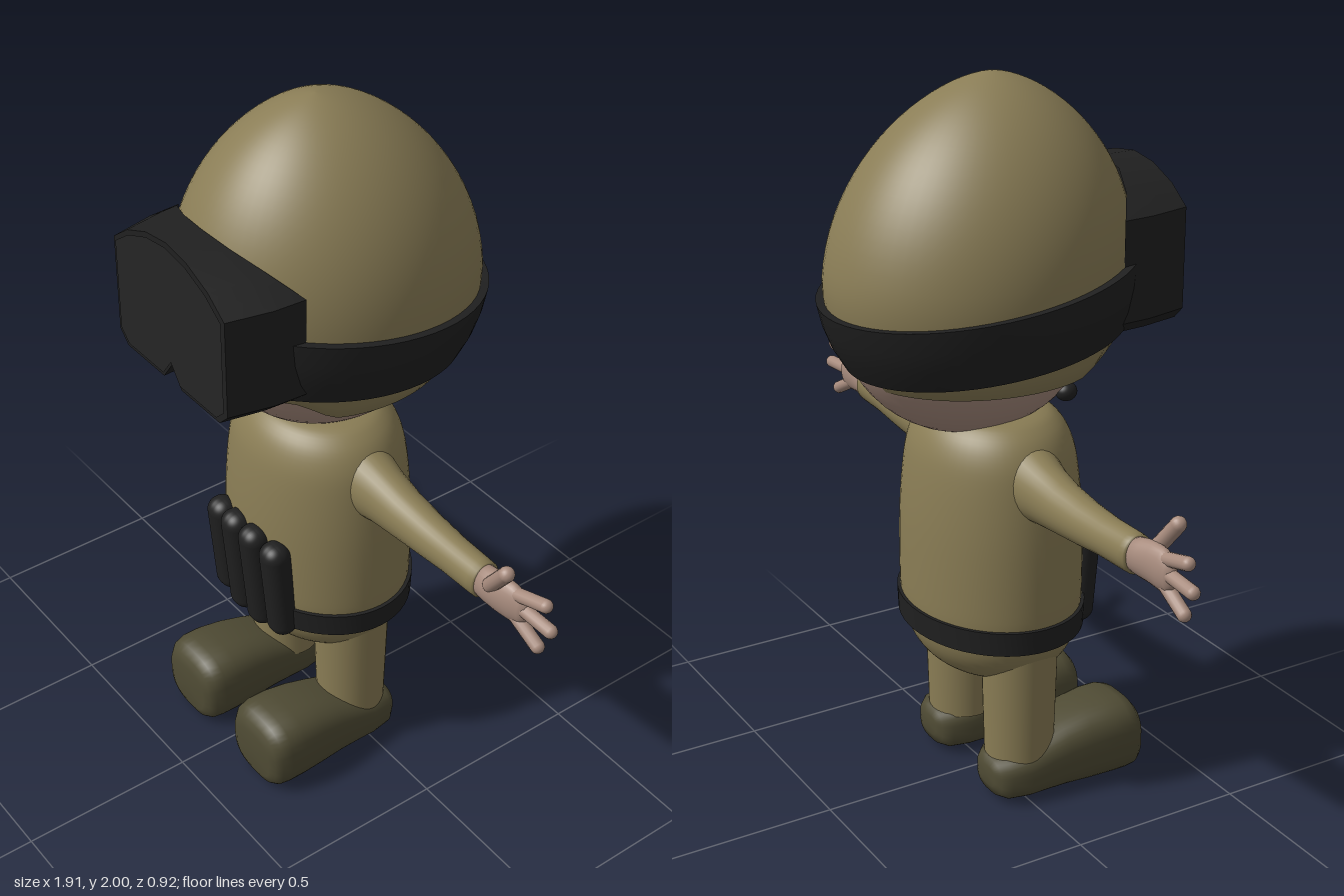
import * as THREE from 'three';
import { toCreasedNormals } from 'three/addons/utils/BufferGeometryUtils.js';
import { RoundedBoxGeometry } from 'three/addons/geometries/RoundedBoxGeometry.js';

const mat = (name, color, side = THREE.FrontSide) => {
  const m = new THREE.MeshStandardMaterial({ color, side });
  m.name = name;
  return m;
};
const V = (x, y, z) => new THREE.Vector3(x, y, z);
const TAU = Math.PI * 2;

// Skin closed rings of points, ordered counter-clockwise about the direction of travel
function loft(rings, capStart = false, capEnd = false) {
  const n = rings[0].length, pos = [], idx = [];
  rings.forEach(r => r.forEach(p => pos.push(p.x, p.y, p.z)));
  for (let i = 0; i < rings.length - 1; i++) {
    for (let j = 0; j < n; j++) {
      const a = i * n + j, b = i * n + (j + 1) % n;
      idx.push(a, b, b + n, a, b + n, a + n);
    }
  }
  const cap = (row, flip) => {
    const c = V(0, 0, 0);
    rings[row].forEach(p => c.addScaledVector(p, 1 / n));
    const k = pos.length / 3;
    pos.push(c.x, c.y, c.z);
    for (let j = 0; j < n; j++) {
      const a = row * n + j, b = row * n + (j + 1) % n;
      if (flip) idx.push(k, b, a); else idx.push(k, a, b);
    }
  };
  if (capStart) cap(0, true);
  if (capEnd) cap(rings.length - 1, false);
  const g = new THREE.BufferGeometry();
  g.setAttribute('position', new THREE.Float32BufferAttribute(pos, 3));
  g.setIndex(idx);
  g.computeVertexNormals();
  return g;
}
const ring = (n, f) => Array.from({ length: n }, (_, j) => f(j / n * TAU));
const sup = (v, e) => Math.sign(v) * Math.abs(v) ** e;

// Point on the egg-shaped helmet at angle a (0 = front) and height y
function shell(a, y, out = 0) {
  const up = y > 1.48, t = Math.min(1, up ? (y - 1.48) / 0.52 : (1.48 - y) / 0.42);
  const k = (1 - t * t) ** (up ? 0.62 : 0.5);
  const zc = -0.02 + (up ? 0.04 * t : 0);
  return V((0.36 * k + out) * Math.sin(a), y, zc + (0.42 * k + out) * Math.cos(a));
}
const rimY = a => 1.23 + 0.08 * THREE.MathUtils.smoothstep(Math.cos(a), 0.45, 0.75);

export function createModel() {
  const olive = mat('olive cloth', 0x8a7d55);
  const helmetMat = mat('olive helmet', 0x8a7d56, THREE.DoubleSide);
  const black = mat('black gear', 0x202020, THREE.DoubleSide);
  const lensMat = mat('dark lens', 0x252525);
  const skin = mat('skin', 0xa88c7e);
  const boot = mat('dark olive boot', 0x4f4b34);
  const root = new THREE.Group();
  const add = (name, geo, m, parent = root) => {
    const mesh = new THREE.Mesh(geo, m);
    mesh.name = name;
    parent.add(mesh);
    return mesh;
  };
  const ball = (name, m, p, s) => {
    const b = add(name, new THREE.SphereGeometry(1, 40, 28), m);
    b.position.copy(p);
    b.scale.copy(s);
    return b;
  };

  // Head, eyes and microphone
  ball('head', skin, V(0, 1.4, -0.04), V(0.28, 0.35, 0.37));
  for (const s of [-1, 1]) {
    const eye = ball('eye', black, V(s * 0.06, 1.235, 0.277), V(0.024, 0.056, 0.009));
    eye.rotation.x = 0.53;
  }
  ball('microphone', black, V(-0.165, 1.165, 0.15), V(0.028, 0.026, 0.03));

  // Helmet with a turned-in rim that rises over the face
  const rows = [ring(64, a => shell(a, rimY(a) + 0.02, -0.05)), ring(64, a => shell(a, rimY(a), -0.02))];
  for (let i = 0; i <= 28; i++) {
    const f = Math.sin(i / 28 * Math.PI / 2);
    rows.push(ring(64, a => shell(a, rimY(a) + (2 - rimY(a)) * f)));
  }
  add('helmet', loft(rows), helmetMat);

  // Goggle strap, tilted down toward the back
  const strapRow = (f, out) => ring(64, a => {
    const z = 0.42 * Math.cos(a);
    return shell(a, THREE.MathUtils.lerp(1.3 + 0.12 * z, 1.48 + 0.14 * z, f), out);
  });
  add('goggleStrap', toCreasedNormals(loft([strapRow(0, -0.01), strapRow(0, 0.014), strapRow(0.33, 0.017),
    strapRow(0.66, 0.019), strapRow(1, 0.021), strapRow(1, -0.01)]), 0.7), black);

  // Goggles: frame widening toward the helmet, and a flat lens with a nose notch
  const half = [[0, 1.385], [0.045, 1.33], [0.235, 1.33], [0.275, 1.365], [0.275, 1.64],
    [0.2, 1.69], [0.1, 1.727], [0, 1.74]];
  const outline = half.concat(half.slice(1, -1).reverse().map(([x, y]) => [-x, y]));
  const frame = [
    outline.map(([x, y]) => V(x, y, 0.36 - 0.11 * (x / 0.275) ** 2)),
    outline.map(([x, y]) => V(x * 0.98, y, 0.37 - 0.03 * (x / 0.275) ** 2)),
    outline.map(([x, y]) => V(x * 0.88, y, 0.463)),
  ];
  add('goggleFrame', toCreasedNormals(loft(frame, false, true), 0.3), black);
  const lensShape = new THREE.Shape(outline.map(([x, y]) => new THREE.Vector2(x * 0.84, 1.53 + (y - 1.53) * 0.94)));
  add('goggleLens', new THREE.ShapeGeometry(lensShape), lensMat).position.z = 0.466;

  // Torso
  const profile = new THREE.SplineCurve([[0, 0.32], [0.1, 0.333], [0.2, 0.375], [0.26, 0.44], [0.285, 0.53],
    [0.29, 0.62], [0.287, 0.8], [0.272, 0.95], [0.25, 1.03], [0.21, 1.083], [0.15, 1.108], [0, 1.115]]
    .map(p => new THREE.Vector2(...p))).getPoints(50);
  profile.forEach(p => { p.x = Math.max(0, p.x); });
  const torso = add('torso', new THREE.LatheGeometry(profile, 56), olive);
  torso.scale.z = 0.82;
  torso.position.z = 0.015;

  // Belt
  const belt = add('belt', toCreasedNormals(new THREE.LatheGeometry([[0.27, 0.487], [0.296, 0.487], [0.299, 0.555],
    [0.27, 0.555], [0.27, 0.487]].map(p => new THREE.Vector2(...p)), 56), 0.6), black);
  belt.scale.z = 0.82;
  belt.position.z = 0.015;

  // Row of four padded pouches on the belly
  for (let i = 0; i < 4; i++) {
    const inner = i === 1 || i === 2;
    const pouch = add('pouch', new RoundedBoxGeometry(0.086, inner ? 0.345 : 0.32, 0.08, 6, 0.038), black);
    pouch.position.set((i - 1.5) * 0.082, 0.617, inner ? 0.248 : 0.238);
    pouch.rotation.x = 0.09;
  }

  // Arms with open hands, built on one side and mirrored
  for (const s of [1, -1]) {
    const arm = new THREE.Group();
    arm.name = s > 0 ? 'leftArm' : 'rightArm';
    arm.scale.x = s;
    root.add(arm);
    // Rings along x from [x, centre y, half height, half depth, centre z]
    const along = list => list.map(([x, y, h, d, z]) => ring(28, a => V(x, y + h * Math.cos(a), z + d * Math.sin(a))));
    add('sleeve', loft(along([[0.17, 0.955, 0.115, 0.1, 0.015], [0.23, 0.953, 0.1, 0.085, 0.015],
      [0.3, 0.946, 0.084, 0.07, 0.013], [0.38, 0.939, 0.071, 0.062, 0.013], [0.48, 0.936, 0.061, 0.055, 0.013],
      [0.58, 0.937, 0.054, 0.049, 0.014], [0.68, 0.938, 0.054, 0.046, 0.015], [0.7, 0.938, 0.053, 0.045, 0.015],
      [0.703, 0.938, 0.042, 0.034, 0.015]]), true, true), olive, arm);
    add('palm', loft(along([[0.69, 0.938, 0.046, 0.037, 0.015], [0.73, 0.94, 0.052, 0.036, 0.017],
      [0.77, 0.943, 0.056, 0.033, 0.018], [0.81, 0.942, 0.057, 0.028, 0.015], [0.84, 0.94, 0.048, 0.022, 0.012],
      [0.855, 0.94, 0.03, 0.012, 0.012]]), true, true), skin, arm);
    const fingers = [
      ['thumb', V(0.745, 0.965, 0.035), V(0.815, 1.055, 0.05), 0.021],
      ['foreFinger', V(0.81, 0.972, 0.015), V(0.915, 1.002, 0.008), 0.0185],
      ['middleFinger', V(0.82, 0.942, 0.012), V(0.938, 0.936, 0.008), 0.0185],
      ['littleFinger', V(0.8, 0.915, 0.015), V(0.902, 0.862, 0.012), 0.0185],
    ];
    for (const [name, a, b, r] of fingers) {
      const dir = b.clone().sub(a);
      const f = add(name, new THREE.CapsuleGeometry(r, dir.length(), 8, 14), skin, arm);
      f.position.copy(a).lerp(b, 0.5);
      f.quaternion.setFromUnitVectors(V(0, 1, 0), dir.normalize());
    }
  }

  // Legs and boots
  // Boot rings along z from [z, half width, bottom, top]
  const bootRings = [[-0.093, 0.04, 0.045, 0.1], [-0.085, 0.067, 0.02, 0.124], [-0.06, 0.09, 0.008, 0.14],
    [0, 0.1, 0.003, 0.152], [0.06, 0.103, 0.003, 0.175], [0.12, 0.107, 0.003, 0.197], [0.19, 0.114, 0, 0.217],
    [0.26, 0.12, 0, 0.227], [0.31, 0.12, 0, 0.227], [0.34, 0.115, 0.003, 0.217], [0.358, 0.1, 0.014, 0.195],
    [0.366, 0.078, 0.035, 0.165]];
  for (const s of [-1, 1]) {
    const leg = add('leg', new THREE.CylinderGeometry(0.106, 0.097, 0.34, 36), olive);
    leg.position.set(s * 0.157, 0.29, 0.015);
    const shoe = add('boot', loft(bootRings.map(([z, w, lo, hi]) => ring(36, a =>
      V(w * sup(Math.cos(a), 0.7), (lo + hi) / 2 + (hi - lo) / 2 * sup(Math.sin(a), 0.7), z))), true, true), boot);
    shoe.position.x = s * 0.165;
  }
  return root;
}
